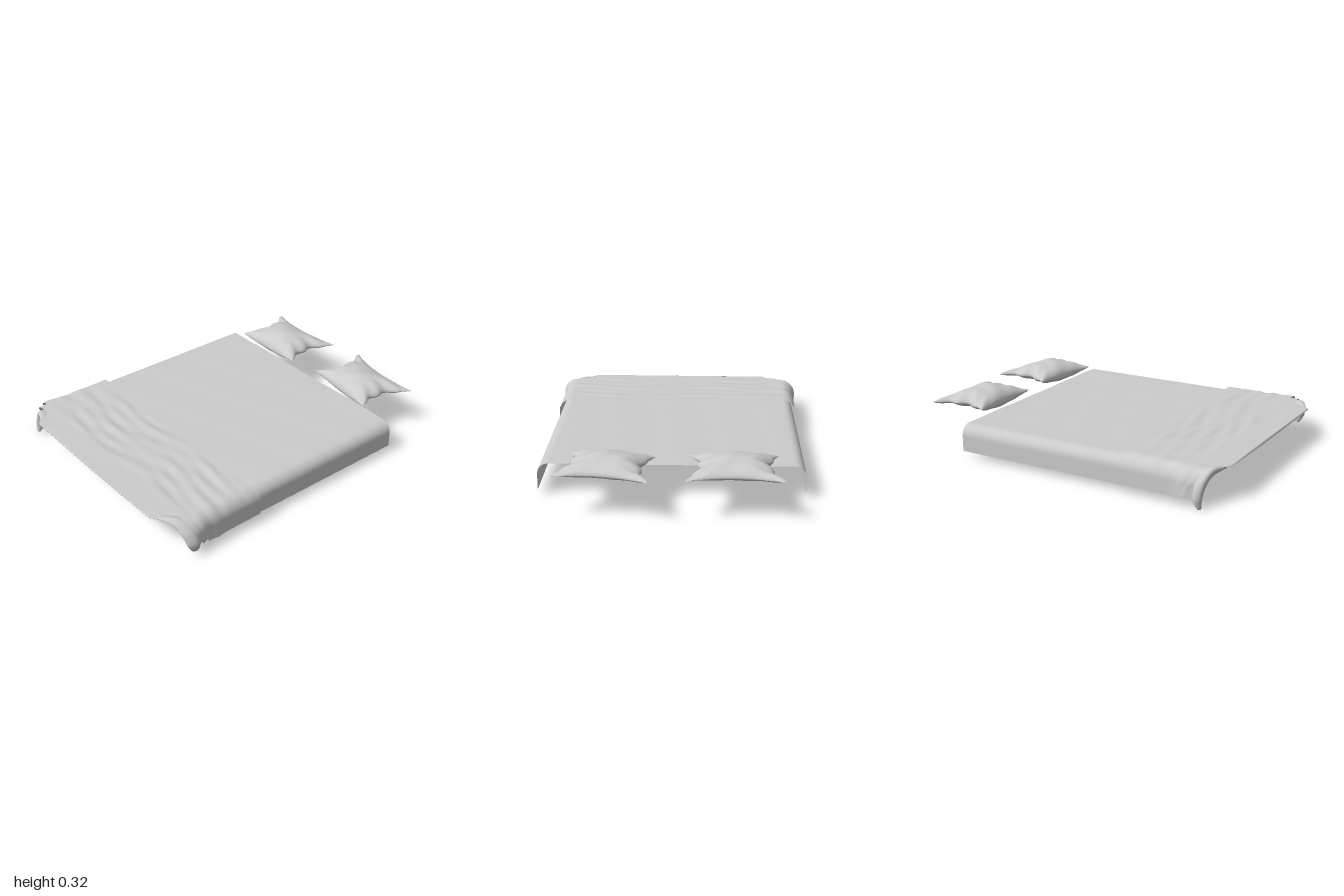
import * as THREE from 'three';

const material = new THREE.MeshStandardMaterial({ color: 0xcccccc, side: THREE.DoubleSide, roughness: 0.9 });
const { lerp, smoothstep } = THREE.MathUtils;

// Grid surface: f(u, v) returns [x, y, z] for u, v in 0..1
function cloth(name, nu, nv, f) {
  const pos = [], idx = [];
  for (let j = 0; j <= nv; j++) {
    for (let i = 0; i <= nu; i++) {
      pos.push(...f(i / nu, j / nv));
      if (i < nu && j < nv) {
        const a = j * (nu + 1) + i, b = a + nu + 1;
        idx.push(a, b, a + 1, a + 1, b, b + 1);
      }
    }
  }
  const geo = new THREE.BufferGeometry();
  geo.setAttribute('position', new THREE.Float32BufferAttribute(pos, 3));
  geo.setIndex(idx);
  geo.computeVertexNormals();
  const mesh = new THREE.Mesh(geo, material);
  mesh.name = name;
  return mesh;
}

// Cross-section of cloth over a mattress: flat top, rounded shoulder, hanging side
function drape(u, halfWidth, top, hem, r) {
  const s = u * 2 - 1, side = Math.sign(s);
  const flat = halfWidth - r, arc = r * Math.PI / 2, drop = top - r - hem;
  const d = Math.abs(s) * (flat + arc + drop);
  if (d <= flat) return [side * d, top];
  if (d <= flat + arc) {
    const t = (d - flat) / r;
    return [side * (flat + r * Math.sin(t)), top - r + r * Math.cos(t)];
  }
  return [side * halfWidth, top - r - (d - flat - arc)];
}

// Soft irregular folds running mostly across the bed
const folds = (x, z) =>
  Math.sin(z * 46 + 2.2 * Math.sin(x * 4.1) + x * 3) * Math.sin(x * 6.3 + z * 9) * 0.6 +
  Math.sin(z * 75 - x * 5 + 1.5 * Math.sin(x * 7)) * 0.4 * Math.cos(x * 4 + 1);

// Front edge of the sheet, cut back at the corners
const frontEdge = x => 0.87 + 0.13 * (1 - smoothstep(Math.abs(x), 0.56, 0.71));

function makeSheet() {
  return cloth('sheet', 150, 70, (u, v) => {
    const [x, y] = drape(u, 0.755, 0.197, 0.038, 0.065);
    const z = lerp(-0.63, frontEdge(x), v);
    const calm = 1 - smoothstep(Math.abs(x), 0.5, 0.7);
    const wrinkle = 0.002 * calm * Math.sin(x * 13 + z * 9) * Math.sin(z * 11 - x * 6);
    return [x, y + wrinkle, z];
  });
}

// Front hem of the sheet, tucked back under the mattress edge
function makeTuck() {
  const profile = new THREE.CatmullRomCurve3([
    new THREE.Vector3(0, 1, 0), new THREE.Vector3(0, 0.75, 0.004),
    new THREE.Vector3(0, 0.3, -0.05), new THREE.Vector3(0, 0, -0.095)]);
  return cloth('tuckedHem', 60, 10, (u, v) => {
    const x = lerp(-0.64, 0.64, u), p = profile.getPoint(v);
    const low = lerp(0.146, 0.178, (x / 0.64) ** 2);
    return [x, lerp(low, 0.197, p.y), frontEdge(x) + p.z];
  });
}

// Runner layer across the foot of the bed, flaring at its front corners
function makeRunner(name, { back, front, width, top, hem, amp }) {
  return cloth(name, 180, 50, (u, v) => {
    let [x, y] = drape(u, width, top, hem, 0.08);
    const hang = smoothstep(top - y, 0, top - hem);
    const slant = -0.012 * x / width;
    // the hanging hem is drawn back from the front edge
    const end = front + slant * 1.5 - 0.07 * hang + 0.005 * Math.sin(x * 11);
    const z = lerp(back + slant, end, v);
    const flare = smoothstep(v, 0.55, 1) * smoothstep(Math.abs(x), 0.6, 0.77);
    x += Math.sign(x) * 0.02 * flare * (0.6 + 0.4 * Math.sin(z * 40));
    const n = folds(x, z) * amp * Math.min(1, v * 6);
    return [x + Math.sign(x) * hang * n * 0.7, y + n * (1 - hang), z];
  });
}

// Hanging corner fold: flattened tube lofted along stations [x, y, z, half width, half depth]
function makeCornerFold(name, stations) {
  const path = new THREE.CatmullRomCurve3(stations.map(s => new THREE.Vector3(s[0], s[1], s[2])));
  return cloth(name, 28, 28, (u, v) => {
    const p = path.getPoint(v), t = path.getTangent(v);
    const k = v * (stations.length - 1), i = Math.min(Math.floor(k), stations.length - 2);
    const w = lerp(stations[i][3], stations[i + 1][3], k - i);
    const d = lerp(stations[i][4], stations[i + 1][4], k - i);
    const a = u * Math.PI * 2, len = Math.hypot(t.x, t.y);
    const ripple = 1 + 0.1 * Math.sin(a * 3 + v * 4);
    const c = Math.cos(a) * w * ripple, s = Math.sin(a) * d * ripple;
    return [p.x - t.y / len * c, p.y + t.x / len * c, p.z + s];
  });
}

// Pillow: two puffed faces meeting at a pinched seam with pointed corners
function makePillow(name) {
  const group = new THREE.Group();
  group.name = name;
  const face = (label, dir, height) => cloth(label, 56, 48, (u, v) => {
    // sine spacing packs rows near the seam for a round edge
    const a = Math.sin((u - 0.5) * Math.PI), b = Math.sin((v - 0.5) * Math.PI);
    const waist = 1 - (b - 0.1) ** 2;
    const x = a * (0.275 - 0.085 * Math.max(0, waist) - 0.012 * (a * a) * (b * b))
      + 0.012 * a * a * Math.sin(b * 9) * (1 - b * b);
    const backZ = -0.185 + 0.05 * (1 - a * a), frontZ = 0.18 - 0.008 * (1 - a * a);
    const z = lerp(backZ, frontZ, (b + 1) / 2);
    const edge = Math.max(0, 1 - a * a) ** 0.55 * Math.max(0, 1 - b * b) ** 0.5;
    const puff = edge * (1 + 0.22 * b);
    // creases radiating from the waist and the front seam
    const rim = smoothstep(Math.abs(a), 0.45, 0.9) * (1 - a * a);
    const crease = 0.012 * rim * Math.sin(b * 11 + a * 2) + 0.003 * edge * Math.sin(a * 8 + b * 3);
    const seam = 0.25 - 0.012 * (1 - a * a) * Math.max(0, b);
    return [x, seam + dir * Math.max(0, height * puff + crease), z];
  });
  group.add(face('pillowTop', 1, 0.07), face('pillowUnderside', -1, 0.05));
  return group;
}

export function createModel() {
  const model = new THREE.Group();
  model.name = 'bedding';
  model.add(makeSheet(), makeTuck());

  model.add(
    makeRunner('runner', { back: 0.42, front: 0.86, width: 0.775, top: 0.216, hem: 0.048, amp: 0.005 }),
    makeRunner('runnerLowerLayer', { back: 0.6, front: 0.9, width: 0.765, top: 0.206, hem: 0.055, amp: 0.001 }));

  model.add(
    makeCornerFold('rightCornerFold', [
      [-0.59, 0.188, 0.955, 0.008, 0.03], [-0.67, 0.175, 0.92, 0.028, 0.03],
      [-0.73, 0.115, 0.9, 0.042, 0.028], [-0.765, 0.05, 0.9, 0.036, 0.022],
      [-0.772, 0.004, 0.915, 0.016, 0.008]]),
    makeCornerFold('leftCornerFold', [
      [0.59, 0.19, 0.955, 0.006, 0.03], [0.69, 0.185, 0.9, 0.018, 0.04],
      [0.75, 0.14, 0.875, 0.024, 0.045], [0.775, 0.08, 0.865, 0.024, 0.04],
      [0.768, 0.035, 0.86, 0.02, 0.02]]));

  const right = makePillow('rightPillow');
  right.position.set(-0.35, 0, -0.79);
  const left = makePillow('leftPillow');
  left.position.set(0.35, 0, -0.79);
  left.rotation.y = -0.13;
  model.add(right, left);
  return model;
}
